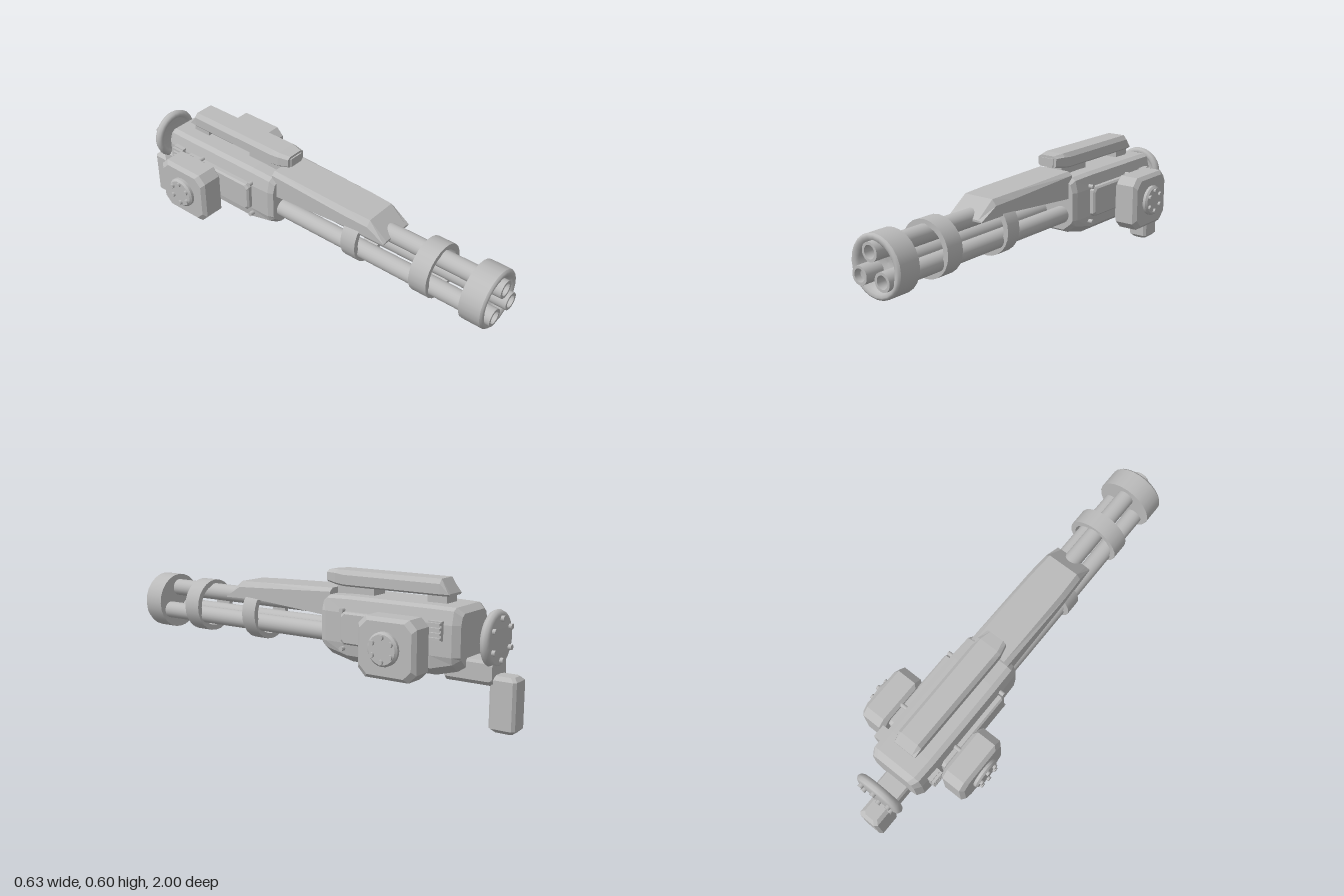
import * as THREE from 'three';

const metal = new THREE.MeshStandardMaterial({ color: 0xbbbbbb });
metal.name = 'grey metal';
const AXIS_Y = 0.362;

// Closed flat-faced skin over [z, [[x, y], ...]] loops, from back to front, each counter-clockwise
function loft(sections) {
  const pos = [];
  const rings = sections.map(([z, loop]) => loop.map(([x, y]) => [x, y, z]));
  const n = rings[0].length;
  const tri = (a, b, c) => pos.push(...a, ...b, ...c);
  for (let s = 0; s < rings.length - 1; s++) {
    const a = rings[s], b = rings[s + 1];
    for (let i = 0; i < n; i++) {
      const j = (i + 1) % n;
      tri(a[i], a[j], b[j]);
      tri(a[i], b[j], b[i]);
    }
  }
  const first = rings[0], last = rings[rings.length - 1];
  for (let i = 1; i < n - 1; i++) {
    tri(first[0], first[i + 1], first[i]);
    tri(last[0], last[i], last[i + 1]);
  }
  const g = new THREE.BufferGeometry();
  g.setAttribute('position', new THREE.Float32BufferAttribute(pos, 3));
  g.computeVertexNormals();
  return g;
}

// Full loop from right-hand points listed bottom to top
const mirrorLoop = (half) => [...half, ...half.slice().reverse().map(([x, y]) => [-x, y])];

// Box with its four long edges cut by c and its ends tapered by e
function chamferBox(w, h, d, c, e) {
  const oct = (i) => {
    const x = w / 2 - i, y = h / 2 - i;
    return mirrorLoop([[x - c, -y], [x, -y + c], [x, y - c], [x - c, y]]);
  };
  return loft([[-d / 2, oct(e)], [-d / 2 + e, oct(0)], [d / 2 - e, oct(0)], [d / 2, oct(e)]]);
}

// Turned part along z from [radius, z] points; each segment keeps its own crisp edge if sharp
function turned(points, sharp = true, segments = 24) {
  const list = [];
  points.forEach((p, i) => {
    const v = new THREE.Vector2(p[0], p[1]);
    list.push(v);
    if (sharp && i > 0 && i < points.length - 1) list.push(v.clone());
  });
  if (!sharp) return new THREE.LatheGeometry(list, segments).rotateX(Math.PI / 2);
  const g = new THREE.BufferGeometry();
  const pos = [], nor = [];
  for (let i = 0; i < list.length; i += 2) {
    const part = new THREE.LatheGeometry([list[i], list[i + 1]], segments).toNonIndexed();
    pos.push(...part.attributes.position.array);
    nor.push(...part.attributes.normal.array);
  }
  g.setAttribute('position', new THREE.Float32BufferAttribute(pos, 3));
  g.setAttribute('normal', new THREE.Float32BufferAttribute(nor, 3));
  return g.rotateX(Math.PI / 2);
}

export function createModel() {
  const model = new THREE.Group();
  model.name = 'rotaryCannon';
  const add = (name, geometry, x = 0, y = 0, z = 0, parent = model) => {
    const m = new THREE.Mesh(geometry, metal);
    m.name = name;
    m.position.set(x, y, z);
    parent.add(m);
    return m;
  };

  // Three hollow barrels
  const barrel = turned([[0, -0.14], [0.04, -0.14], [0.04, 1], [0.028, 1], [0.028, 0.8], [0, 0.8]]);
  for (let i = 0; i < 3; i++) {
    const a = Math.PI / 2 + (i * Math.PI * 2) / 3;
    add('barrel', barrel, 0.071 * Math.cos(a), 0.358 + 0.071 * Math.sin(a), 0);
  }

  // Dished muzzle ring and two barrel clamps
  add('muzzleRing', turned([[0, 0.872], [0.133, 0.872], [0.133, 0.97]]), 0, AXIS_Y);
  add('muzzleDish', turned([[0.133, 0.97], [0.128, 0.977], [0.12, 0.98], [0.108, 0.977], [0.097, 0.968],
    [0.088, 0.945], [0.07, 0.925], [0.04, 0.912], [0, 0.908]], false), 0, AXIS_Y);
  [[0.625, 0.71], [0.27, 0.345]].forEach(([a, b]) => {
    add('barrelClamp', turned([[0.1, a], [0.125, a], [0.125, b], [0.1, b], [0.1, a]]), 0, AXIS_Y);
  });

  // Sloped shroud over the barrels
  add('barrelShroud', loft([
    [-0.14, mirrorLoop([[0.1, 0.4], [0.1, 0.507], [0.08, 0.523]])],
    [0.27, mirrorLoop([[0.1, 0.433], [0.1, 0.488], [0.08, 0.512]])],
    [0.385, mirrorLoop([[0.095, 0.43], [0.095, 0.482], [0.075, 0.508]])],
    [0.47, mirrorLoop([[0.09, 0.427], [0.09, 0.431], [0.07, 0.436]])],
  ]));

  // Receiver body
  const bodyLoop = (s, low, top) => mirrorLoop([
    [0.08 * s, low], [0.128 * s, low + 0.035], [0.137 * s, 0.3], [0.137 * s, 0.43],
    [0.123 * s, top - 0.012], [0.1 * s, top]]);
  add('receiver', loft([
    [-0.785, bodyLoop(0.82, 0.255, 0.475)],
    [-0.755, bodyLoop(0.97, 0.235, 0.498)],
    [-0.66, bodyLoop(1, 0.21, 0.5)],
    [-0.25, bodyLoop(1, 0.21, 0.5)],
    [-0.14, bodyLoop(0.98, 0.235, 0.496)],
    [-0.115, bodyLoop(0.9, 0.25, 0.48)],
  ]));
  add('bellyPanel', new THREE.BoxGeometry(0.11, 0.008, 0.2), 0, 0.209, -0.4);

  // Top rail with its two feet and a sight window
  const railLoop = (w, low, top, c) => mirrorLoop([
    [w - 0.008, low], [w, low + 0.008], [w, top - c], [w - 0.016, top]]);
  add('topRail', loft([
    [-0.695, railLoop(0.055, 0.53, 0.54, 0.004)],
    [-0.655, railLoop(0.06, 0.53, 0.6, 0.02)],
    [-0.18, railLoop(0.062, 0.53, 0.6, 0.02)],
    [-0.14, railLoop(0.062, 0.535, 0.6, 0.015)],
    [-0.088, railLoop(0.05, 0.543, 0.595, 0.01)],
  ]));
  add('sightFrame', new THREE.BoxGeometry(0.07, 0.04, 0.008), 0, 0.564, -0.086);
  [[-0.235, 0.19], [-0.635, 0.09]].forEach(([z, d]) => {
    add('railFoot', new THREE.BoxGeometry(0.085, 0.05, d), 0, 0.515, z);
  });

  // Parts carried on both flanks
  const bolt = new THREE.CylinderGeometry(0.011, 0.011, 0.02, 10).rotateZ(Math.PI / 2);
  const pin = new THREE.CylinderGeometry(0.01, 0.01, 0.06, 12).rotateZ(Math.PI / 2);
  const box = chamferBox(0.275, 0.253, 0.122, 0.035, 0.016).rotateY(Math.PI / 2);
  const panel = chamferBox(0.4, 0.14, 0.04, 0.015, 0.008).rotateY(Math.PI / 2);
  const cap = turned([[0, 0], [0.071, 0], [0.071, 0.016], [0.062, 0.024], [0, 0.024]]).rotateY(Math.PI / 2);
  for (const side of [1, -1]) {
    const flank = new THREE.Group();
    flank.name = side > 0 ? 'leftFlank' : 'rightFlank';
    model.add(flank);
    const put = (name, g, x, y, z) => add(name, g, side * x, y, z, flank);

    put('sidePanel', panel, 0.142, 0.368, -0.435);
    put('ammoBox', box, 0.22, 0.333, -0.538);
    const lid = put('boxCap', cap, 0.278, 0.335, -0.535);
    if (side < 0) lid.rotation.y = Math.PI;
    for (let i = 0; i < 6; i++) {
      const a = (i * Math.PI) / 3 + Math.PI / 6;
      put('capBolt', bolt, 0.303, 0.335 + 0.05 * Math.sin(a), -0.535 + 0.05 * Math.cos(a));
    }
    // Hinge pins and box mounts
    [[0.442, -0.235], [0.275, -0.235], [0.44, -0.54], [0.29, -0.54]].forEach(([y, z]) => {
      put('pin', pin, z < -0.5 ? 0.14 : 0.125, y, z);
    });
    // Slatted vent
    put('ventBase', new THREE.BoxGeometry(0.05, 0.08, 0.06), 0.127, 0.405, -0.688);
    for (let i = 0; i < 4; i++) {
      put('ventSlat', new THREE.BoxGeometry(0.03, 0.01, 0.06), 0.15, 0.375 + i * 0.02, -0.688);
    }
  }

  // Rear bracket and grip
  add('rearBracket', loft([
    [-0.9, mirrorLoop([[0.05, 0.2], [0.063, 0.215], [0.063, 0.27], [0.055, 0.285]])],
    [-0.885, mirrorLoop([[0.045, 0.19], [0.063, 0.208], [0.063, 0.28], [0.055, 0.292]])],
    [-0.69, mirrorLoop([[0.045, 0.19], [0.063, 0.208], [0.063, 0.28], [0.055, 0.292]])],
    [-0.665, mirrorLoop([[0.045, 0.235], [0.063, 0.245], [0.063, 0.28], [0.055, 0.292]])],
  ]));
  add('grip', chamferBox(0.1, 0.115, 0.232, 0.012, 0.016).rotateX(Math.PI / 2), 0, 0.116, -0.9385);

  // Dished rear disc with its ring of bolts
  add('rearDisc', turned([[0, -0.904], [0.1, -0.904], [0.114, -0.897], [0.12, -0.883], [0.114, -0.868],
    [0.102, -0.862], [0.09, -0.867], [0.08, -0.88], [0, -0.886]], false), 0, 0.373);
  for (let i = 0; i < 6; i++) {
    const a = (i * Math.PI) / 3 + Math.PI / 6;
    add('discBolt', new THREE.CylinderGeometry(0.012, 0.012, 0.02, 10).rotateX(Math.PI / 2),
      0.085 * Math.cos(a), 0.373 + 0.085 * Math.sin(a), -0.908);
  }
  return model;
}
